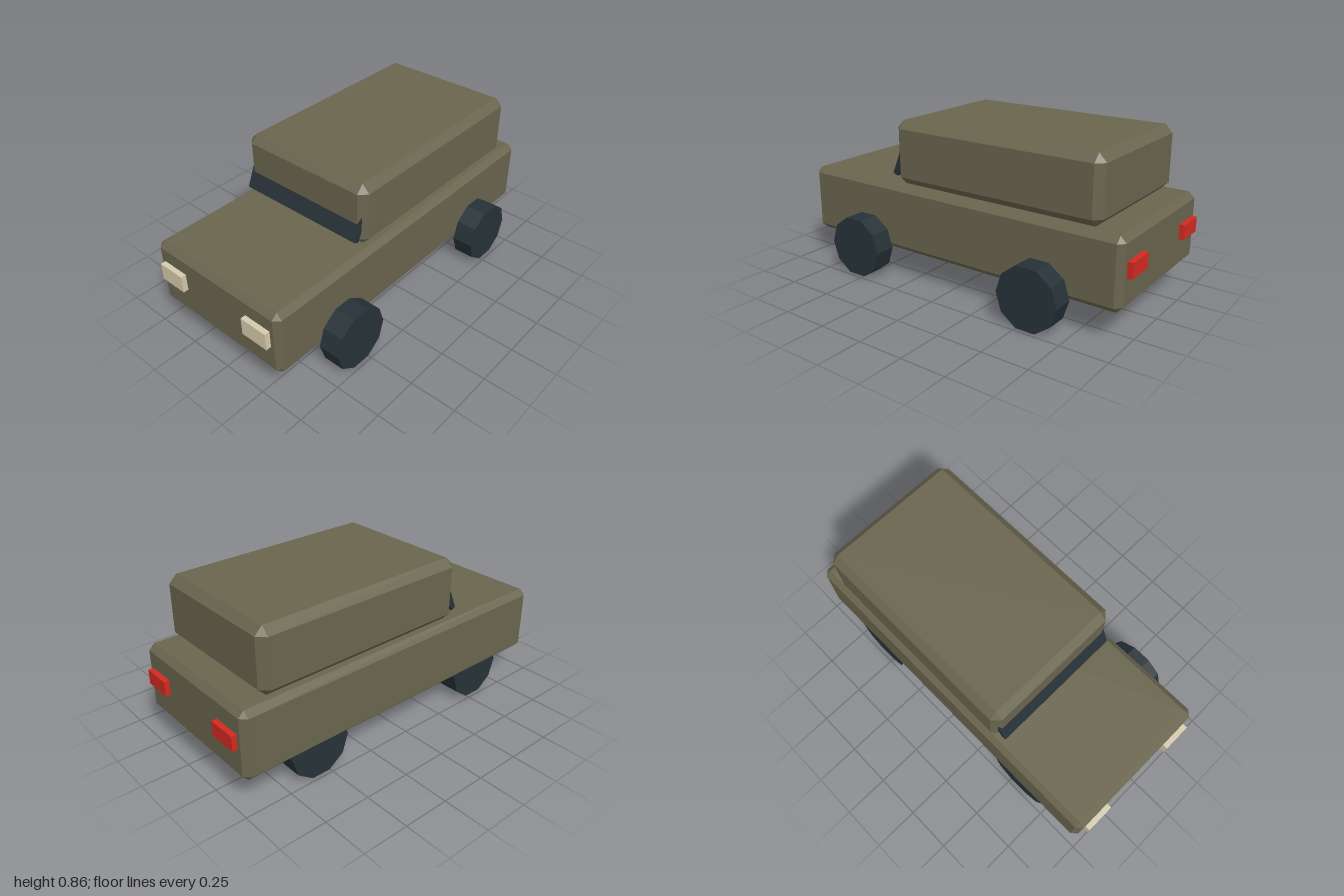
import * as THREE from 'three';
import { ConvexGeometry } from 'three/addons/geometries/ConvexGeometry.js';

const material = (name, color) => {
  const m = new THREE.MeshStandardMaterial({ color });
  m.name = name;
  return m;
};

// Box given by its limits, with every edge cut at 45 degrees
function chamferedBox([x0, x1], [y0, y1], [z0, z1], c) {
  const half = [(x1 - x0) / 2, (y1 - y0) / 2, (z1 - z0) / 2];
  const points = [];
  for (const sx of [-1, 1]) for (const sy of [-1, 1]) for (const sz of [-1, 1]) {
    for (let face = 0; face < 3; face++) {
      const [x, y, z] = half.map((h, i) => (i === face ? h : h - c));
      points.push(new THREE.Vector3(sx * x, sy * y, sz * z));
    }
  }
  return new ConvexGeometry(points).translate((x0 + x1) / 2, (y0 + y1) / 2, (z0 + z1) / 2);
}

export function createModel() {
  const paint = material('olive paint', 0x69654e);
  const dark = material('dark rubber and glass', 0x263238);
  const cream = material('cream lamp', 0xd5caac);
  const red = material('red lamp', 0xd32a20);

  const car = new THREE.Group();
  car.name = 'car';
  const add = (name, geometry, mat, x = 0, y = 0, z = 0) => {
    const mesh = new THREE.Mesh(geometry, mat);
    mesh.name = name;
    mesh.position.set(x, y, z);
    car.add(mesh);
    return mesh;
  };

  // Lower body and cabin, both offset a little to the right side
  add('body', chamferedBox([-0.48, 0.362], [0.152, 0.52], [-0.972, 0.972], 0.031), paint);
  add('cabin', chamferedBox([-0.454, 0.336], [0.52, 0.861], [-0.842, 0.37], 0.041), paint);

  // Slanted windscreen, sunk into the cabin front
  const screen = add('windscreen', new THREE.BoxGeometry(0.74, 0.25, 0.03), dark, -0.059, 0.677, 0.343);
  screen.rotation.x = -0.4;

  // Ten-sided wheels resting on a flat side
  const wheel = new THREE.CylinderGeometry(0.168, 0.168, 0.115, 10).toNonIndexed();
  wheel.rotateZ(Math.PI / 2);
  wheel.computeVertexNormals();
  for (const [side, x] of [['right', -0.4215], ['left', 0.4215]]) {
    for (const [end, z] of [['front', 0.553], ['rear', -0.553]]) {
      add(`${end} ${side} wheel`, wheel, dark, x, 0.16, z);
    }
  }

  // Lamps at both ends
  const headlamp = new THREE.BoxGeometry(0.158, 0.095, 0.06);
  const tailLamp = new THREE.BoxGeometry(0.158, 0.079, 0.06);
  for (const [side, x] of [['right', -0.35], ['left', 0.231]]) {
    add(`${side} headlamp`, headlamp, cream, x, 0.368, 0.97);
    add(`${side} tail lamp`, tailLamp, red, x, 0.36, -0.97);
  }
  return car;
}
